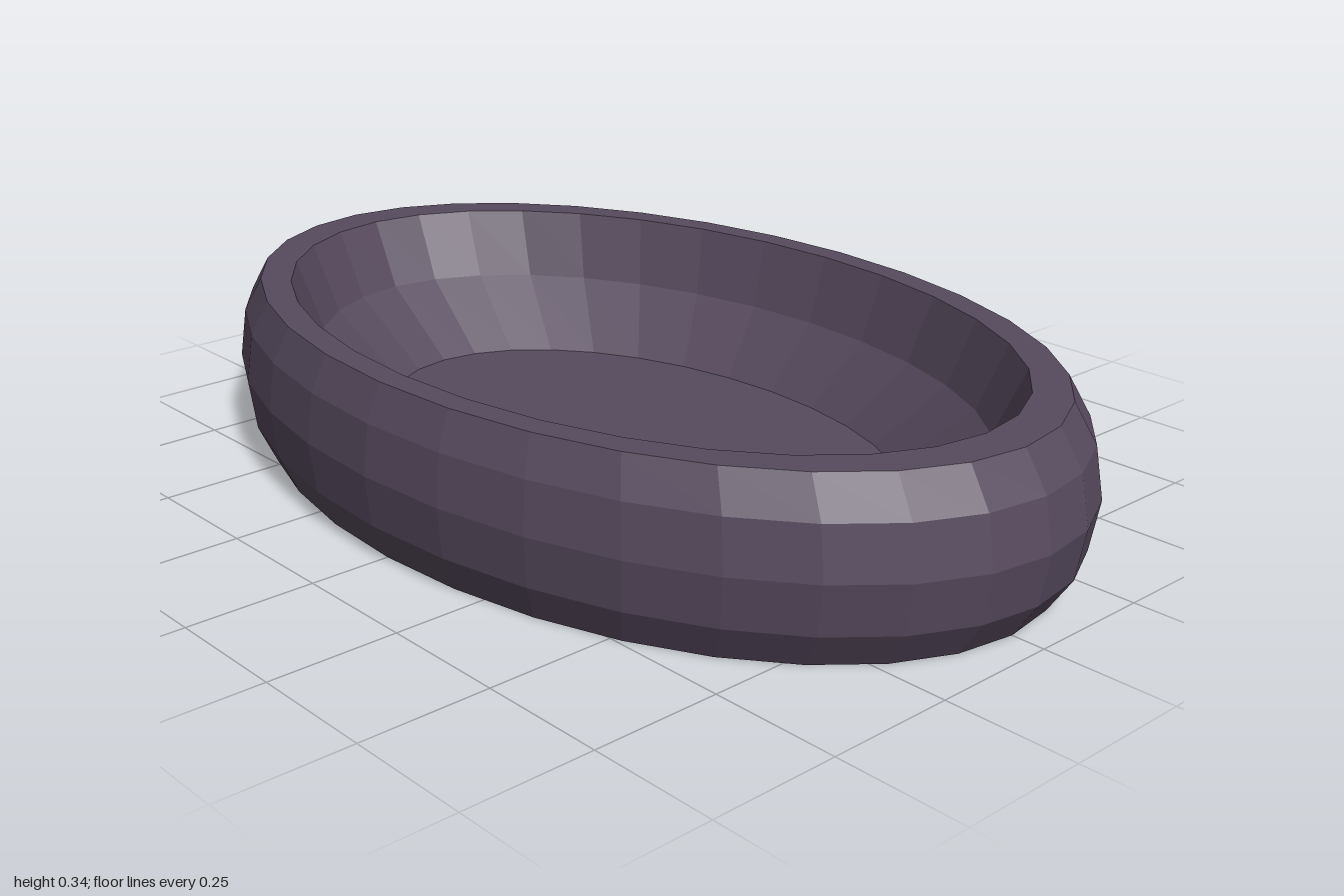
import * as THREE from 'three';

export function createModel() {
  const group = new THREE.Group();
  const glaze = new THREE.MeshStandardMaterial({ color: 0x574a5e, flatShading: true });
  glaze.name = 'dusky purple';

  // Turns a profile of [radius, height] points into an oval, faceted surface
  const ovalLathe = (name, profile) => {
    const points = profile.map(([r, y]) => new THREE.Vector2(r, y));
    let geometry = new THREE.LatheGeometry(points, 32);
    geometry.scale(0.632, 1, 1);
    geometry = geometry.toNonIndexed();
    geometry.computeVertexNormals();
    const mesh = new THREE.Mesh(geometry, glaze);
    mesh.name = name;
    group.add(mesh);
  };

  // Flat underside
  ovalLathe('base', [[0, 0], [0.935, 0]]);
  // Bulging outer side
  ovalLathe('outerWall', [[0.935, 0], [0.982, 0.07], [1, 0.168], [0.982, 0.265], [0.935, 0.335]]);
  // Flat top edge
  ovalLathe('rim', [[0.935, 0.335], [0.855, 0.335]]);
  // Hollow sloping down to the floor
  ovalLathe('innerWall', [[0.855, 0.335], [0.79, 0.2], [0.617, 0.072]]);
  ovalLathe('floor', [[0.617, 0.072], [0, 0.072]]);

  group.name = 'ovalBowl';
  return group;
}
